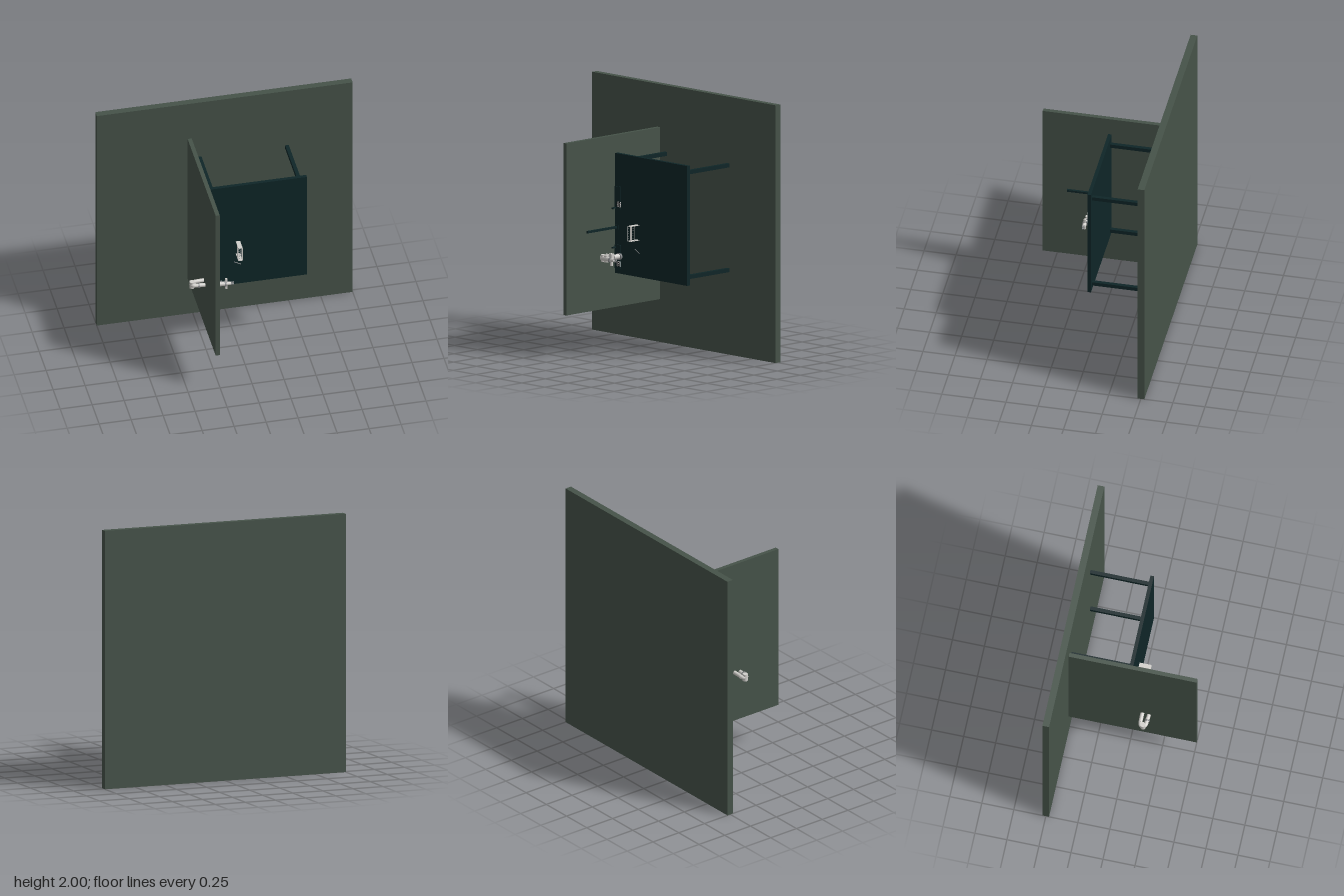
import * as THREE from 'three';

const mat = (name, color, side = THREE.FrontSide) => {
  const m = new THREE.MeshStandardMaterial({ color, side });
  m.name = name;
  return m;
};

export function createModel() {
  const green = mat('grey green panel', 0x465349);
  const teal = mat('dark teal metal', 0x0e2527);
  const pale = mat('pale grey', 0xd2d0cc);
  const grey = mat('mid grey', 0x85888a);
  const white = mat('white', 0xf2f2f2);
  const black = mat('black', 0x0b0d0d);
  const root = new THREE.Group();
  root.name = 'workcell';

  const add = (name, geo, m, parent = root) => {
    const mesh = new THREE.Mesh(geo, m);
    mesh.name = name;
    parent.add(mesh);
    return mesh;
  };
  // Box given by its min and max on each axis
  const box = (name, m, x0, x1, y0, y1, z0, z1, parent) => {
    const b = add(name, new THREE.BoxGeometry(x1 - x0, y1 - y0, z1 - z0), m, parent);
    b.position.set((x0 + x1) / 2, (y0 + y1) / 2, (z0 + z1) / 2);
    return b;
  };
  // Cylinder between two points
  const rod = (name, m, a, b, r0, r1 = r0, parent = root) => {
    const p = new THREE.Vector3(...a), q = new THREE.Vector3(...b);
    const d = q.clone().sub(p);
    const c = add(name, new THREE.CylinderGeometry(r1, r0, d.length(), 24), m, parent);
    c.position.copy(p).add(q).multiplyScalar(0.5);
    c.quaternion.setFromUnitVectors(new THREE.Vector3(0, 1, 0), d.normalize());
    return c;
  };

  // Large base panel and the upright partition
  box('basePanel', green, -1, 1, 0, 2, -0.527, -0.475);
  box('partition', green, -0.29, -0.258, 0.333, 1.667, -0.475, 0.525);

  // Table with four legs
  box('tableTop', teal, -0.25, 0.535, 0.6, 1.53, -0.015, 0.013);
  for (const x of [-0.196, 0.486])
    for (const y of [0.656, 1.469])
      box('tableLeg', teal, x - 0.014, x + 0.014, y - 0.015, y + 0.015, -0.475, -0.015);

  // Sensor post
  box('post', teal, -0.24, -0.224, 0.949, 0.966, 0.013, 0.33);
  box('postFoot', teal, -0.245, -0.215, 0.94, 0.975, 0.013, 0.02);

  // Mounting plates, each with a hook
  for (const [y0, y1, hookY] of [[1.1, 1.275, 1.108], [0.64, 0.822, 0.802]]) {
    box('mountPlate', teal, -0.25, -0.185, y0, y1, 0.013, 0.021);
    box('hookArm', teal, -0.248, -0.232, hookY - 0.004, hookY + 0.004, 0.021, 0.05);
    box('hookTip', teal, -0.248, -0.232, hookY - 0.008, hookY + 0.004, 0.045, 0.053);
  }

  // Chequered calibration targets
  const n = 6, cell = 0.007;
  for (const [cx, cy] of [[-0.201, 1.138], [-0.206, 0.677]]) {
    const target = new THREE.Group();
    target.name = 'calibrationTarget';
    target.position.set(cx, cy, 0.021);
    root.add(target);
    const h = n * cell / 2;
    box('targetPlate', white, -h, h, -h, h, 0, 0.003, target);
    for (let i = 0; i < n; i++)
      for (let j = 0; j < n; j++)
        if ((i + j) % 2)
          box('targetSquare', black, i * cell - h, (i + 1) * cell - h,
            j * cell - h, (j + 1) * cell - h, 0.003, 0.004, target);
  }

  // Robot arm: base, upper arm, elbow, forearm and wrist
  const arm = new THREE.Group();
  arm.name = 'robotArm';
  root.add(arm);
  const y = 0.735;
  rod('armBase', grey, [-0.2, y, 0.013], [-0.2, y, 0.028], 0.028, 0.028, arm);
  rod('armColumn', pale, [-0.2, y, 0.028], [-0.2, y, 0.085], 0.02, 0.02, arm);
  rod('shoulder', pale, [-0.2, y - 0.031, 0.102], [-0.2, y + 0.031, 0.102], 0.02, 0.02, arm);
  rod('upperArm', pale, [-0.2, y + 0.01, 0.1], [-0.365, y + 0.005, 0.101], 0.016, 0.015, arm);
  const elbow = new THREE.CatmullRomCurve3([
    [-0.36, y, 0.101], [-0.385, y, 0.108], [-0.392, y, 0.126], [-0.38, y, 0.142], [-0.355, y, 0.147],
  ].map((p) => new THREE.Vector3(...p)));
  add('elbowBend', new THREE.TubeGeometry(elbow, 20, 0.016, 16), pale, arm);
  rod('elbowCap', pale, [-0.388, y - 0.029, 0.126], [-0.388, y + 0.029, 0.126], 0.02, 0.02, arm);
  rod('forearm', pale, [-0.36, y, 0.146], [-0.25, y, 0.156], 0.016, 0.014, arm);
  for (const [x, z] of [[-0.235, 0.157], [-0.195, 0.161]])
    rod('wristJoint', pale, [x, y - 0.027, z], [x, y + 0.027, z], 0.017, 0.017, arm);
  rod('wrist', pale, [-0.25, y, 0.156], [-0.14, y, 0.169], 0.02, 0.018, arm);
  for (const x of [-0.34, -0.27, -0.165])
    rod('jointRing', grey, [x - 0.004, y, 0.168 + x * 0.055], [x + 0.004, y, 0.168 + x * 0.055], 0.021, 0.021, arm);

  // Gripper with a cross bracket and fingers
  box('gripperBracket', pale, -0.137, -0.122, y - 0.046, y + 0.046, 0.162, 0.178, arm);
  rod('gripperFlange', grey, [-0.142, y, 0.169], [-0.13, y, 0.17], 0.023, 0.023, arm);
  rod('gripperBody', pale, [-0.13, y, 0.17], [-0.095, y, 0.174], 0.015, 0.012, arm);
  for (const s of [-1, 1])
    box('gripperFinger', grey, -0.1, -0.07, y + s * 0.008 - 0.003, y + s * 0.008 + 0.003, 0.168, 0.18, arm);

  // Tube rack: end plates joined by thin rails
  const rack = new THREE.Group();
  rack.name = 'tubeRack';
  root.add(rack);
  for (const ry of [0.887, 1.003])
    box('rackEnd', pale, -0.021, 0.013, ry - 0.002, ry + 0.002, 0.013, 0.108, rack);
  for (const z of [0.065, 0.106]) {
    for (const x of [-0.019, 0.011])
      box('rackRail', pale, x - 0.002, x + 0.002, 0.887, 1.003, z - 0.002, z + 0.002, rack);
    for (let i = 1; i < 6; i++)
      box('rackBar', grey, -0.019, 0.011, 0.886 + i * 0.0195, 0.888 + i * 0.0195, z - 0.001, z + 0.001, rack);
  }

  // Loose stick lying on the table
  rod('stick', grey, [-0.034, 0.813, 0.016], [0.018, 0.784, 0.016], 0.003);

  return root;
}
